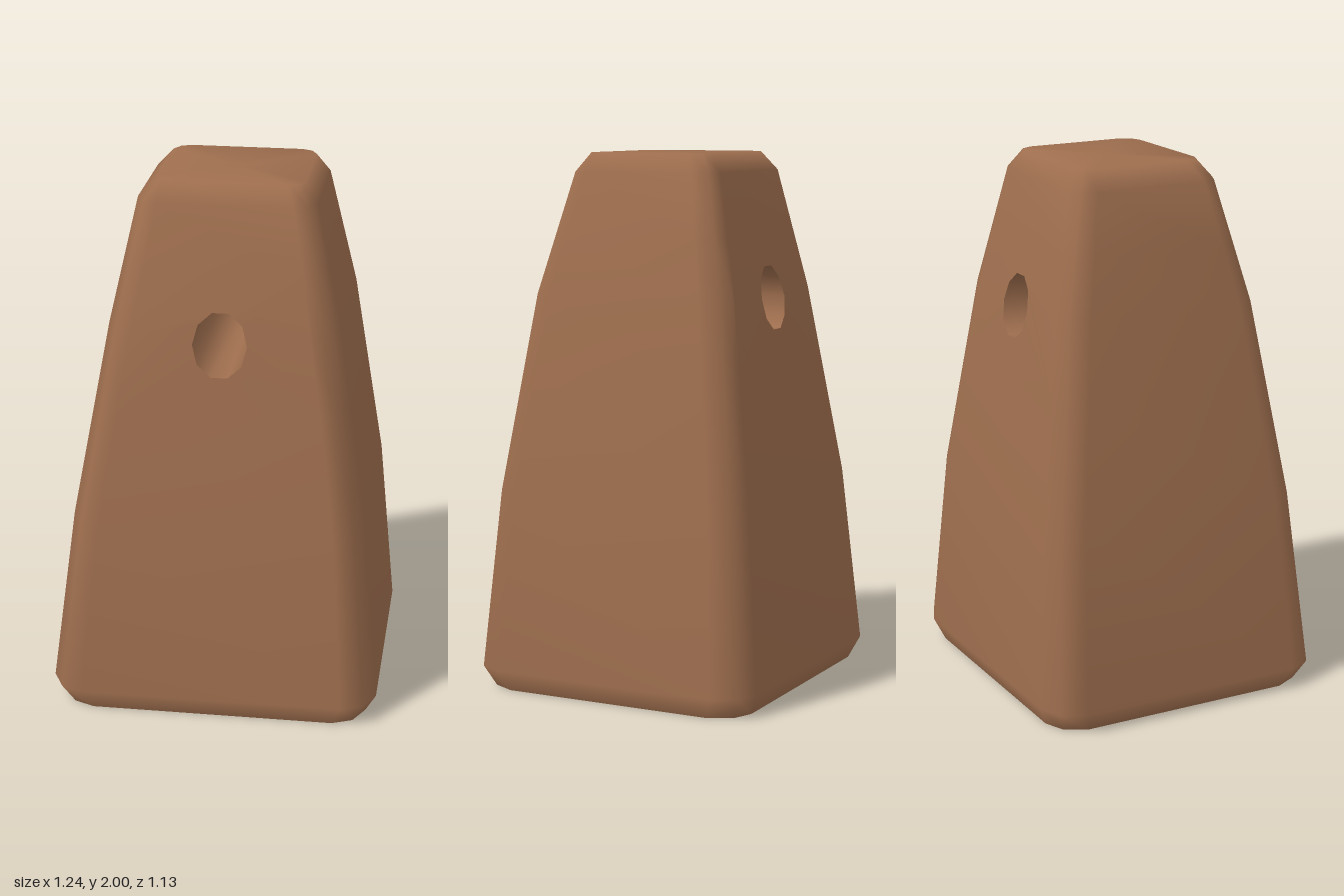
import * as THREE from 'three';
import { mergeVertices } from 'three/addons/utils/BufferGeometryUtils.js';

// Cross-sections: height, left/right x, back/front z, corner size
const KEYS = [
  [0, -0.575, 0.575, -0.53, 0.53, 0.12],
  [0.08, -0.62, 0.615, -0.565, 0.565, 0.125],
  [0.75, -0.535, 0.555, -0.51, 0.505, 0.11],
  [1.48, -0.405, 0.445, -0.405, 0.4, 0.095],
  [1.93, -0.31, 0.345, -0.31, 0.285, 0.08],
  [2, -0.245, 0.295, -0.26, 0.235, 0.06],
];
const HEIGHTS = [0, 0.08, 0.75, 1.2, 1.48, 1.7, 1.93, 2];
const PANEL = [3, 4, 5]; // rows that frame the pierced hole

function sectionAt(y) {
  let i = 0;
  while (i < KEYS.length - 2 && y > KEYS[i + 1][0]) i++;
  const t = (y - KEYS[i][0]) / (KEYS[i + 1][0] - KEYS[i][0]);
  return KEYS[i].map((v, k) => v + (KEYS[i + 1][k] - v) * t);
}

// Twelve-point rectangle with rounded corners
function ring(height) {
  const [y, x0, x1, z0, z1, c] = sectionAt(height);
  const points = [];
  [[x1, z1], [x0, z1], [x0, z0], [x1, z0]].forEach(([x, z], k) => {
    const sx = x === x1 ? -1 : 1, sz = z === z1 ? -1 : 1;
    const corner = [[0, c], [0.36 * c, 0.28 * c], [c, 0]];
    if (k % 2) corner.reverse();
    corner.forEach(([dx, dz]) => points.push(new THREE.Vector3(x + sx * dx, y, z + sz * dz)));
  });
  return points;
}

// Ten-sided opening lying on the front or back surface
function holeRim(front) {
  const points = [];
  for (let i = 0; i < 10; i++) {
    const a = (i / 10) * Math.PI * 2;
    const y = (front ? 1.443 : 1.466) + 0.122 * Math.sin(a);
    points.push(new THREE.Vector3(0.015 + 0.1 * Math.cos(a), y, sectionAt(y)[front ? 4 : 3]));
  }
  return points;
}

function build(triangles) {
  const g = new THREE.BufferGeometry().setFromPoints(triangles);
  const merged = mergeVertices(g, 1e-5);
  merged.computeVertexNormals();
  return merged;
}

export function createModel() {
  const group = new THREE.Group();
  const clay = new THREE.MeshStandardMaterial({ color: 0x9e6e4e });
  clay.name = 'firedClay';
  const add = (name, triangles) => {
    const mesh = new THREE.Mesh(build(triangles), clay);
    mesh.name = name;
    group.add(mesh);
  };

  const rings = HEIGHTS.map(ring);
  const frontRim = holeRim(true), backRim = holeRim(false);

  // Tapered walls, leaving out the panels around the hole
  const body = [];
  for (let r = 0; r < rings.length - 1; r++) {
    for (let i = 0; i < 12; i++) {
      if ((r === 3 || r === 4) && (i === 2 || i === 8)) continue;
      const j = (i + 1) % 12;
      const a = rings[r][i], b = rings[r][j], c = rings[r + 1][j], d = rings[r + 1][i];
      body.push(a, d, c, a, c, b);
    }
  }

  // Pierced front and back panels
  const panel = (left, right, rim, facing) => {
    const contour = [
      ...PANEL.map((k) => rings[k][left]),
      ...[...PANEL].reverse().map((k) => rings[k][right]),
    ];
    const flat = (p) => new THREE.Vector2(p.x, p.y);
    const all = [...contour, ...rim];
    for (const f of THREE.ShapeUtils.triangulateShape(contour.map(flat), [rim.map(flat)])) {
      const [a, b, c] = f.map((k) => all[k]);
      const area = (b.x - a.x) * (c.y - a.y) - (c.x - a.x) * (b.y - a.y);
      if (area * facing > 0) body.push(a, b, c);
      else body.push(a, c, b);
    }
  };
  panel(3, 2, frontRim, 1);
  panel(8, 9, backRim, -1);

  // Flat top, blended into its bevel
  const cap = (points, up) => {
    const centre = points.reduce((s, p) => s.add(p), new THREE.Vector3()).divideScalar(12);
    return points.flatMap((p, i) => {
      const q = points[(i + 1) % 12];
      return up ? [centre, q, p] : [centre, p, q];
    });
  };
  body.push(...cap(rings[rings.length - 1], true));
  add('body', body);

  // Flat underside with a crisp edge
  add('base', cap(rings[0], false));

  // Tunnel joining the two openings, facing inward
  const tunnel = [];
  frontRim.forEach((a, i) => {
    const j = (i + 1) % 10;
    tunnel.push(a, frontRim[j], backRim[j], a, backRim[j], backRim[i]);
  });
  add('hangingHole', tunnel);

  return group;
}
